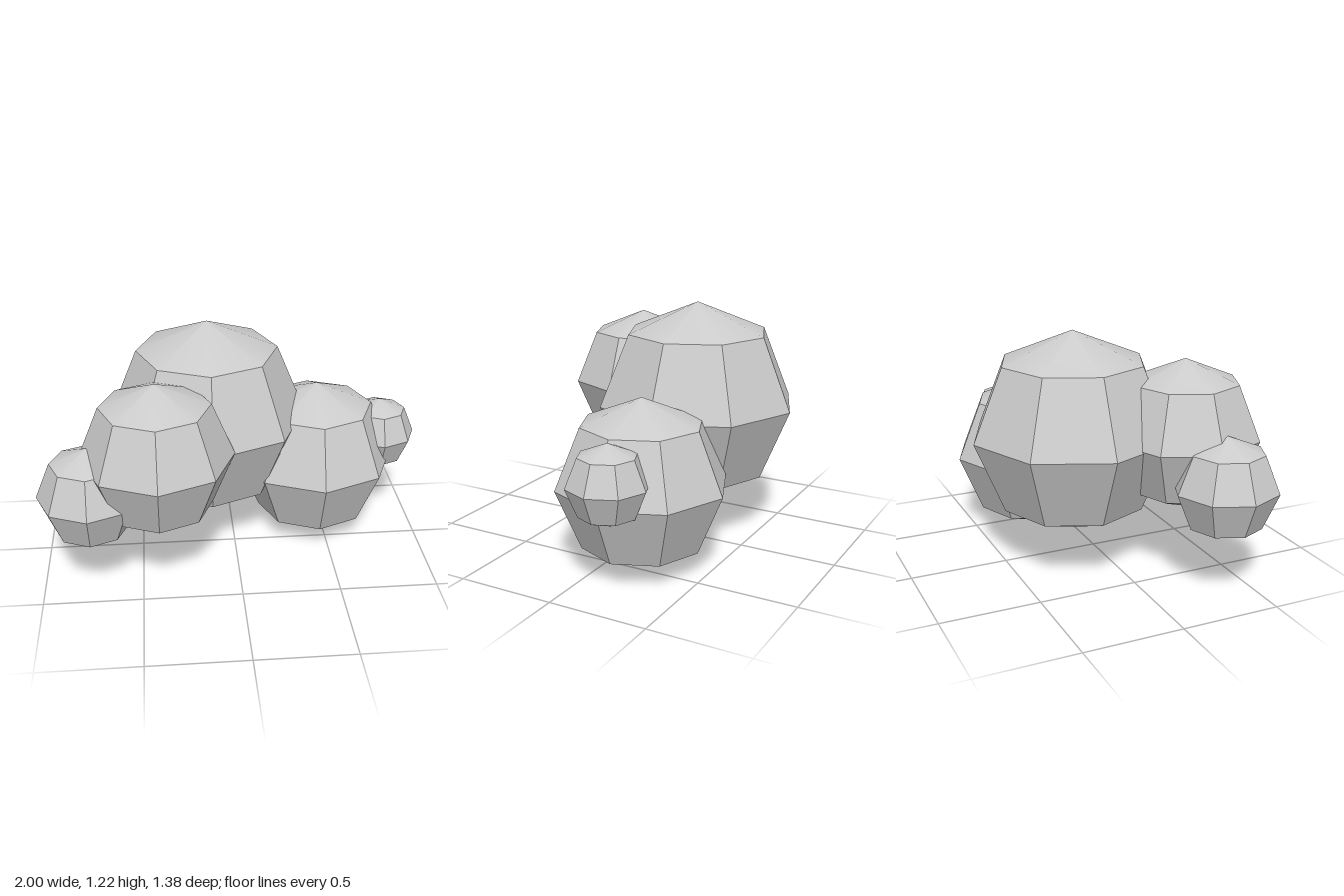
import * as THREE from 'three';
import { toCreasedNormals } from 'three/addons/utils/BufferGeometryUtils.js';

// Each puff: name, radius, centre x, y, z
const PUFFS = [
  ['mainPuff', 0.518, -0.13, 0.703, -0.17],
  ['frontPuff', 0.383, -0.407, 0.712, 0.305],
  ['rightEndPuff', 0.258, -0.742, 0.535, 0.352],
  ['lowPuff', 0.427, 0.448, 0.428, -0.17],
  ['leftEndPuff', 0.197, 0.803, 0.537, -0.197],
];

export function createModel() {
  const cloud = new THREE.Group();
  cloud.name = 'cloud';
  const material = new THREE.MeshStandardMaterial({ color: 0xcccccc });

  // Low-poly ball: softly shaded caps, crisp edges on the side bands
  const ball = toCreasedNormals(new THREE.SphereGeometry(1, 8, 4), Math.PI / 6);

  for (const [name, radius, x, y, z] of PUFFS) {
    const puff = new THREE.Mesh(ball, material);
    puff.name = name;
    puff.scale.setScalar(radius);
    puff.position.set(x, y, z);
    cloud.add(puff);
  }
  return cloud;
}
